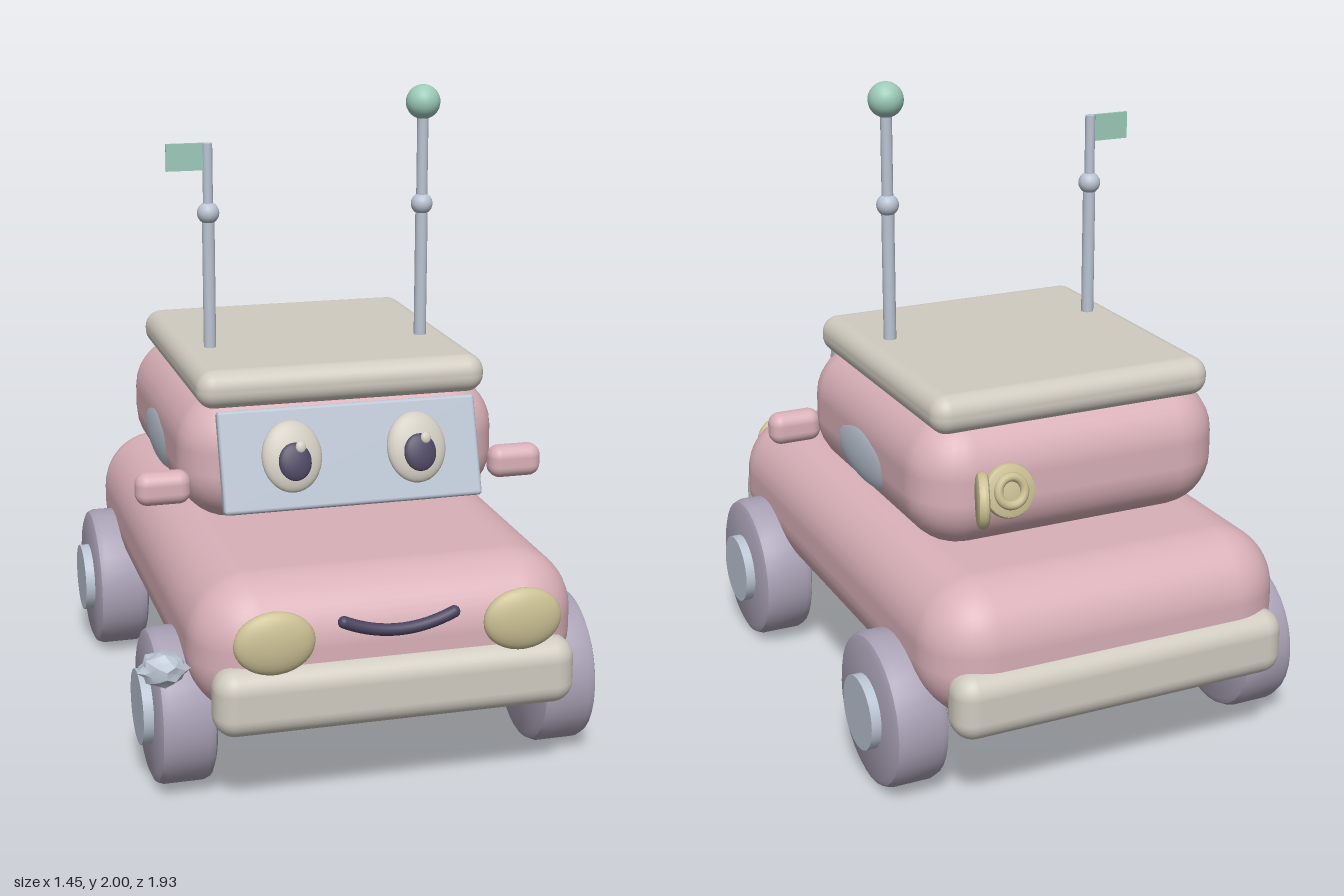
import * as THREE from 'three';
import { toCreasedNormals } from 'three/addons/utils/BufferGeometryUtils.js';
import { RoundedBoxGeometry } from 'three/addons/geometries/RoundedBoxGeometry.js';

export function createModel() {
  const model = new THREE.Group();
  model.name = 'toyCar';
  const material = (name, color) => {
    const m = new THREE.MeshStandardMaterial({ color });
    m.name = name;
    return m;
  };
  const pink = material('pinkPaint', 0xd9b0b8);
  const cream = material('cream', 0xd0cbc0);
  const blue = material('paleBlue', 0xbac4d2);
  const tyreMat = material('mauveRubber', 0xa9a1b5);
  const yellow = material('paleYellow', 0xcbc094);
  const green = material('mintGreen', 0x9ccab9);
  const dark = material('darkViolet', 0x4b4460);

  const CX = 0.012; // the car's middle line
  const add = (name, geo, mat, x, y, z, parent = model) => {
    const mesh = new THREE.Mesh(geo, mat);
    mesh.name = name;
    mesh.position.set(x, y, z);
    parent.add(mesh);
    return mesh;
  };
  const box = (w, h, d, r, seg = 5) => new RoundedBoxGeometry(w, h, d, seg, r);
  const ellipsoid = (a, b, c) => new THREE.SphereGeometry(1, 28, 18).scale(a, b, c);
  const lathe = (pts, n = 32) => toCreasedNormals(
    new THREE.LatheGeometry(pts.map(p => new THREE.Vector2(p[0], p[1])), n), 0.6);
  const disc = (r, h, b) => lathe([[0, -h], [r - b, -h], [r - b * 0.3, -h + b * 0.3], [r, -h + b],
    [r, h - b], [r - b * 0.3, h - b * 0.3], [r - b, h], [0, h]]);
  const aim = (mesh, x, y, z) => mesh.quaternion.setFromUnitVectors(
    new THREE.Vector3(0, 1, 0), new THREE.Vector3(x, y, z).normalize());

  // Main volumes
  add('body', box(1.175, 0.435, 1.83, 0.19, 6), pink, CX, 0.4825, -0.005);
  add('cabin', box(1.02, 0.41, 1.03, 0.17, 4), pink, CX, 0.905, -0.135);
  add('roof', box(0.92, 0.12, 0.96, 0.055), cream, CX, 1.13, -0.132);
  for (const [name, s] of [['frontBumper', 1], ['rearBumper', -1]]) {
    add(name, box(1.09, 0.205, 0.14, 0.065), cream, CX, 0.368, s * 0.888);
  }

  // Windscreen with its eyes, all leaning back together
  const face = new THREE.Group();
  face.name = 'windscreenFace';
  face.position.set(CX, 0.923, 0.397);
  face.rotation.x = -0.33;
  model.add(face);
  add('windscreen', box(0.82, 0.315, 0.04, 0.012, 3), blue, 0, 0, 0, face);
  for (const s of [-1, 1]) {
    const eye = new THREE.Group();
    eye.name = s > 0 ? 'leftEye' : 'rightEye';
    eye.position.set(s * 0.197, 0.005, 0.052);
    face.add(eye);
    add('eyeWhite', ellipsoid(0.094, 0.11, 0.034), cream, 0, 0, 0, eye);
    add('pupil', ellipsoid(0.051, 0.058, 0.016), dark, 0.002, -0.018, 0.03, eye);
    add('eyeGlint', ellipsoid(0.016, 0.018, 0.008), cream, 0.02, 0.025, 0.042, eye);
  }

  // Headlights, mirrors and side windows
  for (const s of [-1, 1]) {
    const side = s > 0 ? 'left' : 'right';
    add(side + 'Headlight', ellipsoid(0.12, 0.095, 0.038), yellow, CX + s * 0.372, 0.55, 0.93);
    add(side + 'Mirror', box(0.172, 0.104, 0.084, 0.038), pink, CX + s * 0.569, 0.832, 0.303);
    add(side + 'Window', ellipsoid(0.03, 0.098, 0.248), blue, CX + s * 0.489, 0.88, -0.132);
  }

  // Smiling mouth
  const smile = new THREE.QuadraticBezierCurve3(new THREE.Vector3(-0.165, 0.04, 0),
    new THREE.Vector3(0, -0.035, 0), new THREE.Vector3(0.165, 0.04, 0));
  add('mouth', new THREE.TubeGeometry(smile, 24, 0.018, 10), dark, CX, 0.548, 0.918);
  for (const s of [-1, 1]) add('mouthCorner', ellipsoid(0.018, 0.018, 0.018), dark, CX + s * 0.165, 0.588, 0.918);

  // Wheels with hubs
  for (const s of [-1, 1]) for (const z of [0.567, -0.572]) {
    const wheel = new THREE.Group();
    wheel.name = (z > 0 ? 'front' : 'rear') + (s > 0 ? 'Left' : 'Right') + 'Wheel';
    wheel.position.set(CX + s * 0.591, 0.238, z);
    wheel.rotation.z = -s * Math.PI / 2;
    model.add(wheel);
    add('tyre', disc(0.236, 0.086, 0.028), tyreMat, 0, 0, 0, wheel);
    add('hub', new THREE.CylinderGeometry(0.114, 0.114, 0.06, 32), blue, 0, 0.087, 0, wheel);
  }

  // Roof masts: one with a ball, one with a flag
  const mast = (name, x, top, upperRadius) => {
    const g = new THREE.Group();
    g.name = name;
    g.position.x = x;
    model.add(g);
    add('lowerPole', new THREE.CylinderGeometry(0.02, 0.02, 0.45, 16), blue, 0, 1.395, 0, g);
    add('joint', ellipsoid(0.035, 0.035, 0.035), blue, 0, 1.62, 0, g);
    add('upperPole', new THREE.CylinderGeometry(upperRadius, upperRadius, top - 1.62, 16),
      blue, 0, (top + 1.62) / 2, 0, g);
    return g;
  };
  add('mastBall', ellipsoid(0.055, 0.055, 0.055), green, 0, 1.945, 0, mast('ballMast', 0.36, 1.92, 0.018));
  add('flag', new THREE.BoxGeometry(0.118, 0.085, 0.009), green, -0.072, 1.797, 0,
    mast('flagMast', -0.34, 1.838, 0.016));

  // Fuel filler on the back of the cabin with its cap swung open
  const filler = new THREE.Group();
  filler.name = 'fuelFiller';
  filler.position.set(0.268, 0.905, -0.668);
  aim(filler, 0, 0.25, -1);
  model.add(filler);
  add('fillerPlate', disc(0.082, 0.016, 0.012), yellow, 0, 0, 0, filler);
  add('fillerRing', new THREE.TorusGeometry(0.042, 0.014, 10, 28).rotateX(Math.PI / 2), yellow, 0, 0.018, 0, filler);
  aim(add('fillerCap', disc(0.083, 0.017, 0.014), yellow, 0.388, 0.922, -0.742), 0.94, 0, 0.35);

  // Crumpled lump beside the front right wheel
  const lump = new THREE.IcosahedronGeometry(1, 2);
  const p = lump.attributes.position;
  const v = new THREE.Vector3();
  for (let i = 0; i < p.count; i++) {
    v.fromBufferAttribute(p, i);
    v.multiplyScalar(0.95 + 0.13 * Math.sin(7 * v.x + 2) * Math.cos(6 * v.y) + 0.08 * Math.sin(8 * v.z));
    p.setXYZ(i, v.x * 0.072, v.y * 0.052, v.z * 0.058);
  }
  add('crumpledLump', toCreasedNormals(lump, 0.4), blue, -0.647, 0.432, 0.755);

  return model;
}
